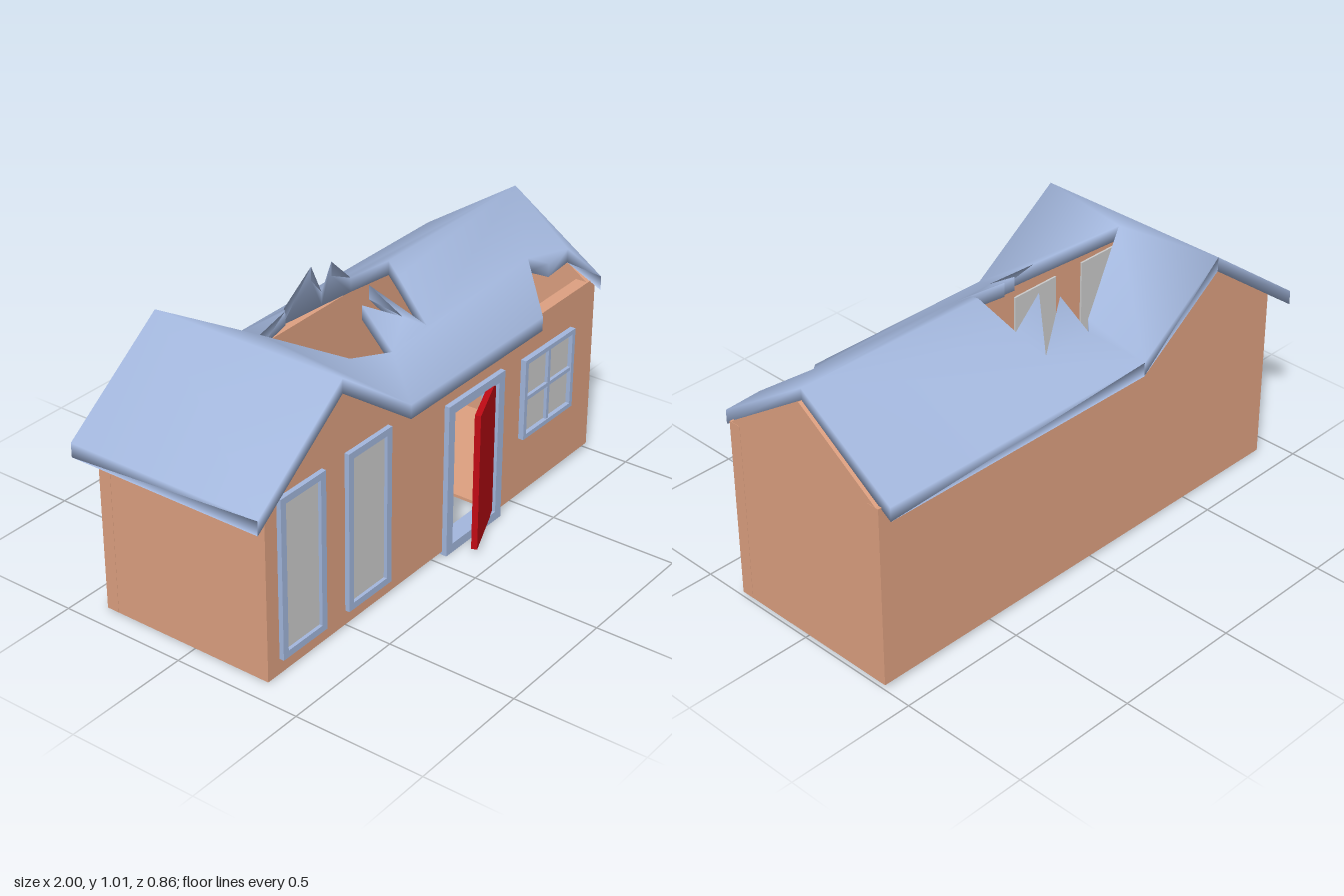
import * as THREE from 'three';
import { mergeVertices } from 'three/addons/utils/BufferGeometryUtils.js';

const wallMat = new THREE.MeshStandardMaterial({ color: 0xdda080, side: THREE.DoubleSide });
const blueMat = new THREE.MeshStandardMaterial({ color: 0xa3b7dd, side: THREE.DoubleSide });
const doorMat = new THREE.MeshStandardMaterial({ color: 0xc00a14 });
const glassMat = new THREE.MeshStandardMaterial({ color: 0xcccccc });

function named(name, geometry, material) {
  const mesh = new THREE.Mesh(geometry, material);
  mesh.name = name;
  return mesh;
}

function box(name, material, x0, x1, y0, y1, z0, z1) {
  const mesh = named(name, new THREE.BoxGeometry(x1 - x0, y1 - y0, z1 - z0), material);
  mesh.position.set((x0 + x1) / 2, (y0 + y1) / 2, (z0 + z1) / 2);
  return mesh;
}

function extrude(points, depth) {
  const shape = new THREE.Shape(points.map(([x, y]) => new THREE.Vector2(x, y)));
  return new THREE.ExtrudeGeometry(shape, { depth, bevelEnabled: false });
}

// Thick sheet from top-side polygons: top, underside, and a rim on every open edge
function thickSheet(pieces, thickness) {
  const pos = [];
  const edges = new Map();
  const low = ([x, y, z]) => [x, y - thickness, z];
  const tri = (a, b, c) => pos.push(...a, ...b, ...c);
  for (const piece of pieces) {
    const flat = piece.map(([x, , z]) => new THREE.Vector2(x, -z));
    for (const face of THREE.ShapeUtils.triangulateShape(flat, [])) {
      const [p, q, r] = face.map((i) => flat[i]);
      const up = (q.x - p.x) * (r.y - p.y) - (q.y - p.y) * (r.x - p.x) > 0;
      const [a, b, c] = (up ? face : [...face].reverse()).map((i) => piece[i]);
      tri(a, b, c);
      tri(low(a), low(c), low(b));
      for (const [s, e] of [[a, b], [b, c], [c, a]]) {
        const back = e + '|' + s;
        if (edges.has(back)) edges.delete(back);
        else edges.set(s + '|' + e, [s, e]);
      }
    }
  }
  for (const [s, e] of edges.values()) {
    tri(low(s), low(e), e);
    tri(low(s), e, s);
  }
  const geometry = new THREE.BufferGeometry();
  geometry.setAttribute('position', new THREE.Float32BufferAttribute(pos, 3));
  const merged = mergeVertices(geometry, 1e-4);
  merged.computeVertexNormals();
  return merged;
}

// Four bars round an opening
function frame(name, x0, x1, y0, y1, w, z0, z1) {
  const g = new THREE.Group();
  g.name = name;
  g.add(
    box('leftBar', blueMat, x0, x0 + w, y0, y1, z0, z1),
    box('rightBar', blueMat, x1 - w, x1, y0, y1, z0, z1),
    box('bottomBar', blueMat, x0 + w, x1 - w, y0, y0 + w, z0, z1),
    box('topBar', blueMat, x0 + w, x1 - w, y1 - w, y1, z0, z1));
  return g;
}

function makeRoof() {
  const ridgeFront = [-0.57, 1, 0.36], ridgeBack = [-0.57, 1, -0.43];
  const join = [-0.5, 1, -0.035];
  const valleyFront = [-0.2, 0.74, 0.36], valleyBack = [-0.2, 0.74, -0.43];
  const holeEnd = [0.2, 1, -0.035], ridgeEnd = [0.985, 1.01, -0.035];
  return thickSheet([
    // cross gable
    [[-1, 0.685, 0.36], ridgeFront, ridgeBack, [-1, 0.685, -0.43]],
    [ridgeFront, valleyFront, join],
    [ridgeFront, join, ridgeBack],
    [ridgeBack, join, valleyBack],
    // front slope with broken corner and torn hole edge
    [valleyFront, [0.59, 0.745, 0.36], [0.74, 0.87, 0.19], [0.82, 0.83, 0.23],
      [0.93, 0.85, 0.24], [0.985, 0.75, 0.355], ridgeEnd, holeEnd,
      [0.17, 0.97, 0.03], [0.12, 0.85, 0.19], [0.04, 0.98, 0], [0.06, 0.89, 0.13],
      [-0.05, 0.95, 0.04], [-0.09, 0.84, 0.2], [-0.26, 0.87, 0.15], join],
    // back slope with splinters bent upwards
    [valleyBack, join, [-0.12, 0.87, -0.24], [-0.08, 0.85, -0.28], [0, 1, -0.22],
      [0.12, 0.84, -0.27], [0.05, 1.015, -0.17], [0.16, 0.91, -0.17],
      holeEnd, ridgeEnd, [0.985, 0.75, -0.43]],
  ], 0.055);
}

export function createModel() {
  const house = new THREE.Group();
  house.name = 'brokenHouse';

  // Long walls, each with a side gable; the front one has a doorway
  const top = [[1, 0.025], [1, 0.73], [-0.22, 0.71], [-0.57, 0.95], [-0.92, 0.695], [-0.92, 0.01]];
  const doorway = [[0.08, 0.017], [0.08, 0.58], [0.36, 0.58], [0.36, 0.02]];
  const frontWall = named('frontWall', extrude([...top, ...doorway], 0.05), wallMat);
  frontWall.position.z = 0.27;
  const backWall = named('backWall', extrude(top, 0.05), wallMat);
  backWall.position.z = -0.39;

  // End walls
  const gable = [[-0.32, 0.025], [0.39, 0.025], [0.39, 0.72], [0.035, 0.965], [-0.32, 0.725]];
  const rightEnd = named('gableEndWall', extrude(gable, 0.05), wallMat);
  rightEnd.rotation.y = Math.PI / 2;
  rightEnd.position.x = 0.949;
  house.add(frontWall, backWall, rightEnd,
    box('lowEndWall', wallMat, -0.919, -0.87, 0.012, 0.69, -0.389, 0.319));

  // Floor, notched behind the doorway and slightly sloping
  const floor = named('floor', extrude([[-0.918, -0.318], [0.07, -0.318], [0.07, -0.02],
    [0.38, -0.02], [0.38, -0.318], [0.998, -0.318], [0.998, 0.388], [-0.918, 0.388]], 0.012), wallMat);
  floor.rotation.set(-Math.PI / 2, -0.0075, 0);
  floor.position.y = 0.015;
  house.add(floor, named('roof', makeRoof(), blueMat));

  // Windows
  for (const [x0, x1] of [[-0.86, -0.63], [-0.51, -0.275]]) {
    house.add(frame('tallWindowFrame', x0, x1, 0.07, 0.685, 0.026, 0.31, 0.338),
      box('tallWindowPane', glassMat, x0 + 0.01, x1 - 0.01, 0.08, 0.675, 0.262, 0.325));
  }
  house.add(frame('smallWindowFrame', 0.52, 0.845, 0.265, 0.59, 0.018, 0.31, 0.342),
    box('smallWindowPane', glassMat, 0.53, 0.835, 0.275, 0.58, 0.262, 0.325),
    box('mullion', blueMat, 0.675, 0.69, 0.28, 0.575, 0.31, 0.338),
    box('crossBar', blueMat, 0.535, 0.83, 0.42, 0.435, 0.31, 0.338));

  // Door, hinged on its +x side and standing ajar
  house.add(frame('doorFrame', 0.05, 0.39, 0.004, 0.61, 0.036, 0.265, 0.34));
  const hinge = new THREE.Group();
  hinge.name = 'door';
  hinge.add(box('doorLeaf', doorMat, -0.265, 0, 0.035, 0.578, -0.011, 0.011));
  hinge.position.set(0.353, 0, 0.315);
  hinge.rotation.y = 0.4;
  house.add(hinge);
  return house;
}
